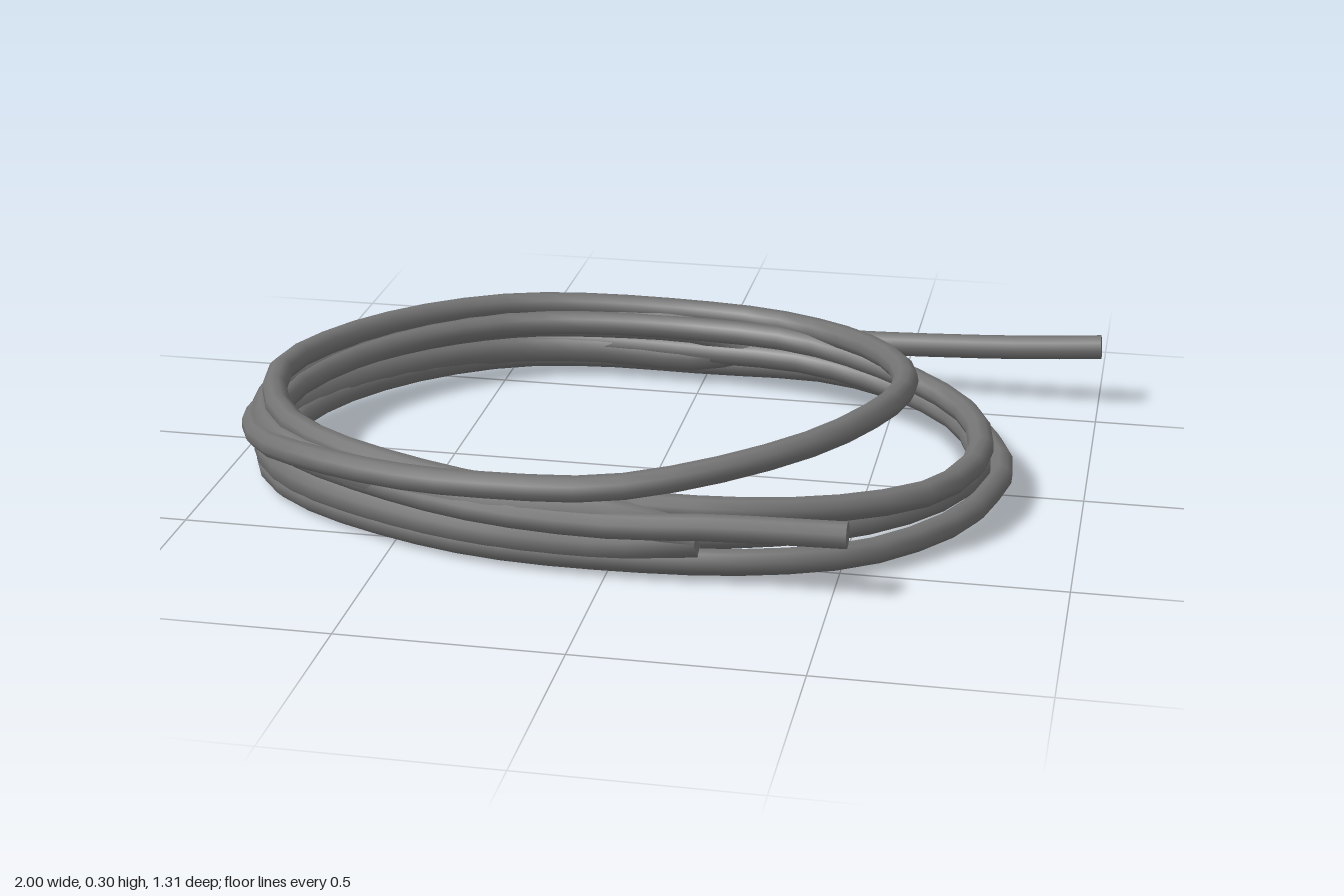
import * as THREE from 'three';

const R = 0.03;
const material = new THREE.MeshStandardMaterial({ color: 0x737373, side: THREE.DoubleSide });

// Outer line of the tight half of the coil, from back round the -x side to front (x, z)
const ARC = [[0, -0.63], [-0.3, -0.632], [-0.5, -0.59], [-0.69, -0.475], [-0.84, -0.315], [-0.93, -0.15],
  [-0.97, 0], [-0.95, 0.15], [-0.87, 0.31], [-0.74, 0.425], [-0.49, 0.545], [-0.27, 0.605], [0, 0.62]];

// One strand along the tight half; inset 0 = outermost, 1 = innermost.
// Each argument holds the values at back, side and front.
function strand(inset, y) {
  const at = (v, s) => (s < 1 ? THREE.MathUtils.lerp(v[0], v[1], s) : THREE.MathUtils.lerp(v[1], v[2], s - 1));
  return ARC.map(([x, z], i) => {
    const s = (2 * i) / (ARC.length - 1);
    const t = at(inset, s);
    return new THREE.Vector3(x * (1 - 0.08 * t), at(y, s), z * (1 - 0.1 * t));
  });
}

const points = (list) => list.map((p) => new THREE.Vector3(...p));

// Capped tube through the given points
function cable(name, path, radius, segments) {
  const group = new THREE.Group();
  group.name = name;
  const curve = new THREE.CatmullRomCurve3(path, false, 'centripetal');
  const tube = new THREE.Mesh(new THREE.TubeGeometry(curve, segments, radius, 9), material);
  tube.name = name + 'Tube';
  group.add(tube);
  for (const t of [0, 1]) {
    const cap = new THREE.Mesh(new THREE.CircleGeometry(radius, 9), material);
    cap.name = name + 'End';
    cap.position.copy(curve.getPoint(t));
    const out = curve.getTangent(t).multiplyScalar(t ? 1 : -1);
    cap.quaternion.setFromUnitVectors(new THREE.Vector3(0, 0, 1), out);
    group.add(cap);
  }
  return group;
}

export function createModel() {
  const model = new THREE.Group();
  model.name = 'coiledCable';

  // Loose loops on the +x side, from front to back
  const lowLoop = points([[0.3, 0.05, 0.575], [0.55, 0.05, 0.475], [0.73, 0.05, 0.27], [0.785, 0.05, 0.1],
    [0.805, 0.05, -0.05], [0.755, 0.05, -0.23], [0.67, 0.05, -0.38], [0.54, 0.05, -0.495], [0.33, 0.06, -0.58]]);
  const midLoop = points([[0.3, 0.1, 0.54], [0.52, 0.1, 0.44], [0.68, 0.1, 0.28], [0.755, 0.1, 0.1],
    [0.745, 0.1, -0.06], [0.68, 0.1, -0.22], [0.52, 0.1, -0.39], [0.28, 0.1, -0.53]]);
  const topLoop = points([[0.22, 0.245, 0.55], [0.42, 0.27, 0.41], [0.53, 0.275, 0.23], [0.575, 0.262, 0.04],
    [0.56, 0.245, -0.13], [0.48, 0.225, -0.31], [0.35, 0.205, -0.46], [0.18, 0.19, -0.57]]);
  const highLoop = points([[0.3, 0.16, 0.55], [0.52, 0.15, 0.46], [0.68, 0.145, 0.33], [0.76, 0.145, 0.13],
    [0.74, 0.15, -0.07], [0.66, 0.155, -0.21], [0.49, 0.165, -0.36], [0.26, 0.165, -0.5]]);

  // One continuous cable from the long free end to the short one
  const path = [
    ...points([[1, 0.16, -0.62], [0.8, 0.145, -0.62], [0.45, 0.128, -0.628], [0.2, 0.122, -0.635]]),
    ...strand([0, 0.4, 0.4], [0.115, 0.036, 0.045]), ...lowLoop,
    ...strand([0.3, 0.9, 1], [0.05, 0.06, 0.085]), ...midLoop,
    ...strand([0.7, 0, 0.1], [0.09, 0.095, 0.215]), ...topLoop,
    ...strand([0.3, 0.65, 0.9], [0.185, 0.2, 0.162]), ...highLoop,
    ...strand([1, 0.85, 0], [0.155, 0.14, 0.132]),
    ...points([[0.25, 0.147, 0.622], [0.53, 0.153, 0.62]]),
  ];
  model.add(cable('cable', path, R, 210));

  // Strands packed inside the tight half, filling the gaps between the turns
  for (const [name, y] of [['lowerPackedStrand', 0.076], ['upperPackedStrand', 0.143]]) {
    const packed = [new THREE.Vector3(0.12, 0.11, -0.595), ...strand([0.5, 0.5, 0.5], [y, y, y]),
      new THREE.Vector3(0.2, 0.105, 0.59)];
    model.add(cable(name, packed, 0.042, 36));
  }
  return model;
}
